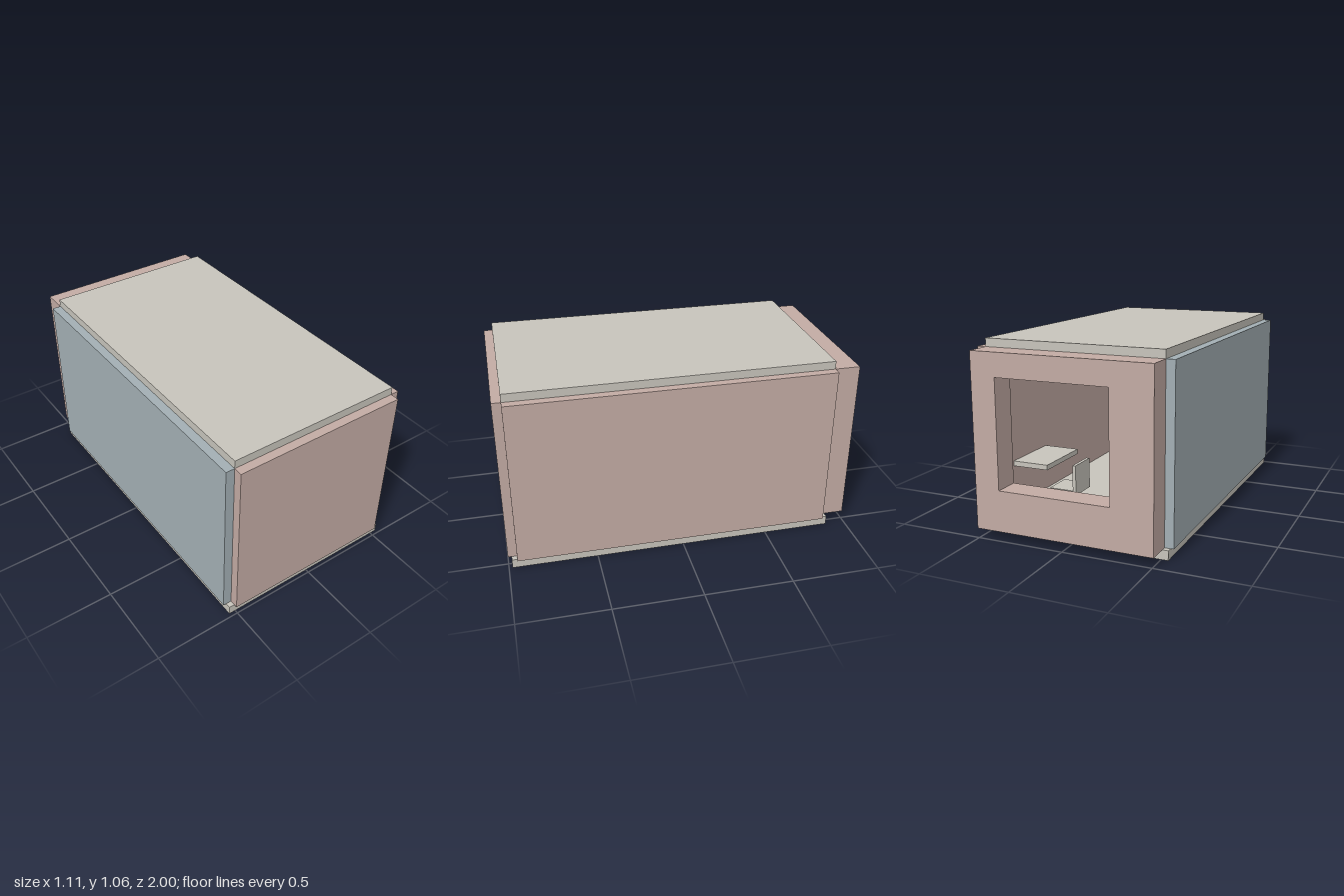
import * as THREE from 'three';

export function createModel() {
  const room = new THREE.Group();
  room.name = 'room';

  const mat = (name, color) => {
    const m = new THREE.MeshStandardMaterial({ color });
    m.name = name;
    return m;
  };
  const clay = mat('clay pink', 0xc3aba4);
  const stone = mat('pale stone', 0xc7c4bb);
  const slate = mat('slate blue', 0xa3afb4);

  const add = (name, geometry, material, parent = room) => {
    const mesh = new THREE.Mesh(geometry, material);
    mesh.name = name;
    parent.add(mesh);
    return mesh;
  };

  // Box given by its limits on each axis
  const box = (name, material, [x0, x1], [y0, y1], [z0, z1], parent) => {
    const g = new THREE.BoxGeometry(x1 - x0, y1 - y0, z1 - z0);
    g.translate((x0 + x1) / 2, (y0 + y1) / 2, (z0 + z1) / 2);
    return add(name, g, material, parent);
  };

  const W = 0.507, T = 0.05;             // inner half width, wall thickness
  const floorY = 0.053, topY = 1.01;     // wall bottom and top
  const backZ = -0.855, frontZ = 0.95;   // inner faces of the end walls
  const wallY = [floorY, topY], roomZ = [backZ, frontZ];

  // Slabs
  box('floor', stone, [-0.539, 0.539], [0, floorY], [-0.885, 0.98]);
  box('roof', stone, [-W, W], [topY, 1.056], roomZ);

  // Plain walls
  box('frontWall', clay, [-W, W], wallY, [frontZ, 1]);
  box('leftWall', clay, [W, W + T], wallY, roomZ);
  box('rightWall', slate, [-W - T, -W], wallY, roomZ);

  // Thick back wall with a window opening
  const rect = (Type, x0, x1, y0, y1) => {
    const p = new Type();
    p.moveTo(x0, y0);
    p.lineTo(x1, y0);
    p.lineTo(x1, y1);
    p.lineTo(x0, y1);
    p.closePath();
    return p;
  };
  const wall = rect(THREE.Shape, -W, W, floorY, topY);
  wall.holes.push(rect(THREE.Path, -0.272, 0.365, 0.28, 0.88));
  const backWall = new THREE.ExtrudeGeometry(wall, { depth: 1 + backZ, bevelEnabled: false });
  backWall.translate(0, 0, -1);
  add('backWall', backWall, clay);

  // Desk board fixed to the left wall
  box('desk', stone, [0.29, W], [0.295, 0.324], [-0.625, -0.26]);

  // Chair facing the desk
  const chair = new THREE.Group();
  chair.name = 'chair';
  room.add(chair);
  const chairZ = [-0.534, -0.36];
  box('seat', stone, [0.16, 0.328], [0.135, 0.16], chairZ, chair);
  box('backrest', stone, [0.16, 0.18], [0.16, 0.31], chairZ, chair);

  // Wardrobe in the corner beside the window
  box('wardrobe', stone, [-W, -0.307], [floorY, 0.82], [backZ, -0.393]);

  return room;
}
